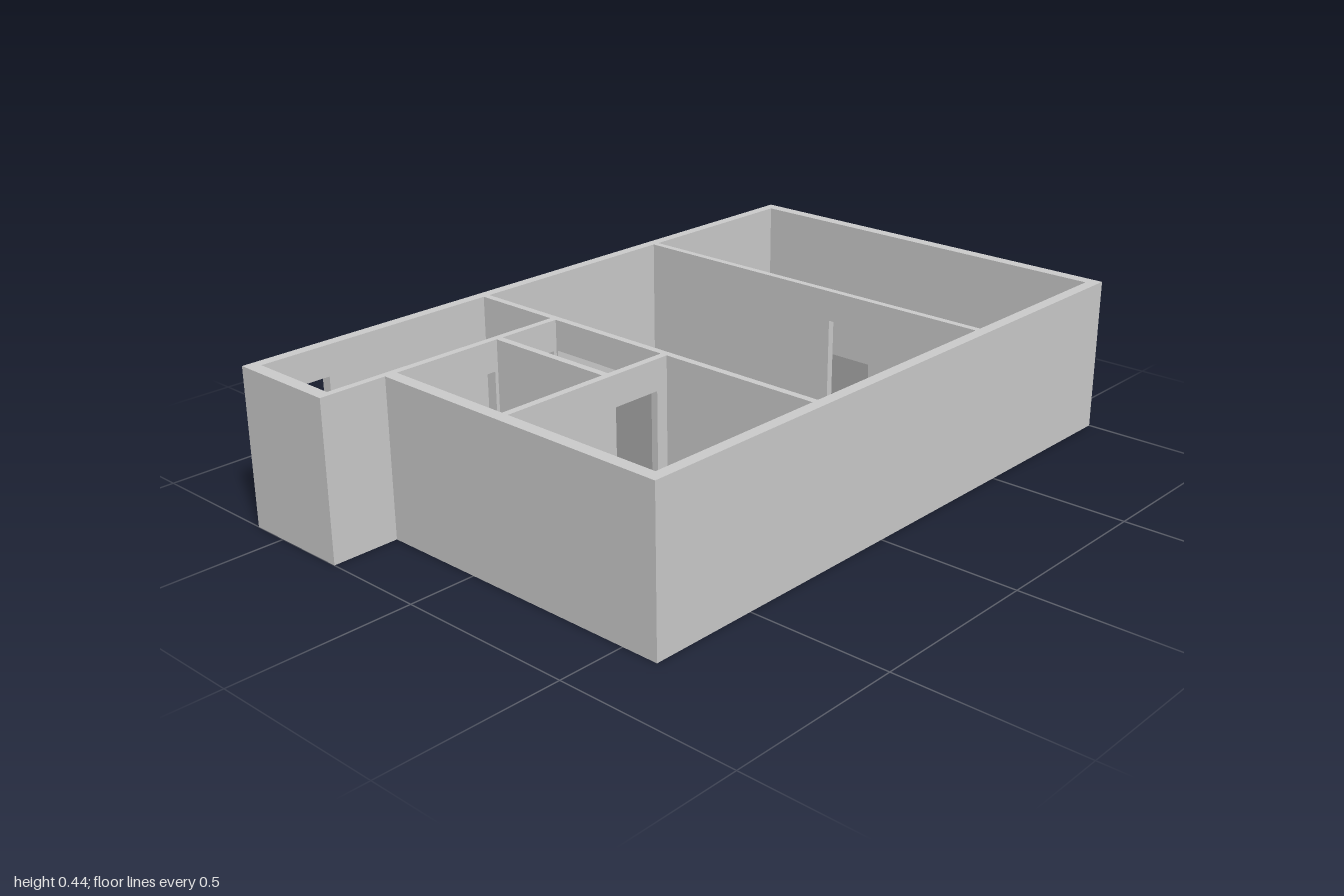
import * as THREE from 'three';

const H = 0.435;      // wall height
const DOOR = 0.35;    // head height of door openings
const SILL = 0.13, HEAD = 0.36; // window opening

const grey = new THREE.MeshStandardMaterial({ color: 0xcccccc });
const floorMat = new THREE.MeshStandardMaterial({ color: 0x808080, side: THREE.DoubleSide });
const glassMat = new THREE.MeshStandardMaterial({ color: 0x7088b0 });

export function createModel() {
  const model = new THREE.Group();
  model.name = 'housePlan';

  const add = (parent, name, geometry, material = grey) => {
    const mesh = new THREE.Mesh(geometry, material);
    mesh.name = name;
    parent.add(mesh);
    return mesh;
  };

  // Box given by its minimum and maximum corners
  const box = (parent, name, x0, x1, y0, y1, z0, z1, material) =>
    add(parent, name, new THREE.BoxGeometry(x1 - x0, y1 - y0, z1 - z0), material)
      .position.set((x0 + x1) / 2, (y0 + y1) / 2, (z0 + z1) / 2);

  // Upright wall running a..b along an axis and c0..c1 across it, with door notches and window holes
  const wall = (name, axis, a, b, c0, c1, doors = [], windows = []) => {
    const shape = new THREE.Shape().moveTo(a, 0);
    for (const [d0, d1] of doors) {
      shape.lineTo(d0, 0).lineTo(d0, DOOR).lineTo(d1, DOOR).lineTo(d1, 0);
    }
    shape.lineTo(b, 0).lineTo(b, H).lineTo(a, H).closePath();
    for (const [w0, w1] of windows) {
      shape.holes.push(new THREE.Path()
        .moveTo(w0, SILL).lineTo(w0, HEAD).lineTo(w1, HEAD).lineTo(w1, SILL).closePath());
    }
    const geometry = new THREE.ExtrudeGeometry(shape, { depth: c1 - c0, bevelEnabled: false });
    if (axis === 'x') geometry.translate(0, 0, c0);
    else geometry.rotateY(-Math.PI / 2).translate(c1, 0, 0);
    add(model, name, geometry);
  };

  // Outer walls
  const windows = [[-0.83, -0.61], [-0.35, -0.04], [0.40, 0.62]];
  const glazedDoor = [0.015, 0.165];
  wall('backWall', 'x', -0.605, 0.605, -1, -0.965);
  wall('rightWall', 'z', -0.965, 0.965, -0.605, -0.575, [[0.77, 0.925]]);
  wall('entranceFrontWall', 'x', -0.605, -0.29, 0.965, 1);
  wall('frontWall', 'x', -0.29, 0.605, 0.775, 0.81);
  wall('leftWallInner', 'z', -0.965, 0.775, 0.573, 0.598, [glazedDoor], windows);
  wall('leftWallOuter', 'z', -0.965, 0.775, 0.598, 0.605);

  // Partitions
  wall('backPartition', 'x', -0.575, 0.573, -0.44, -0.42, [[0.095, 0.235]]);
  wall('middlePartition', 'x', -0.575, 0.573, 0.23, 0.25, [[-0.285, 0.09]]);
  wall('entrancePartition', 'z', 0.25, 0.965, -0.31, -0.29, [[0.26, 0.43], [0.465, 0.607]]);
  wall('bedroomPartition', 'z', 0.25, 0.775, 0.09, 0.11, [[0.285, 0.43]]);
  wall('bathroomPartition', 'x', -0.29, 0.09, 0.435, 0.455);

  // Floor, just above the undersides of the walls
  const plan = [[-0.6, 0.99], [-0.6, -0.99], [0.6, -0.99], [0.6, 0.8], [-0.295, 0.8], [-0.295, 0.99]];
  const floorShape = new THREE.Shape(plan.map(([x, z]) => new THREE.Vector2(x, -z)));
  add(model, 'floor', new THREE.ShapeGeometry(floorShape).rotateX(-Math.PI / 2).translate(0, 0.002, 0), floorMat);

  // Windows: frame bars, panes and an inside sill
  for (const [z0, z1] of windows) {
    const win = new THREE.Group();
    win.name = 'window';
    model.add(win);
    const f = 0.012, mid = (z0 + z1) / 2;
    box(win, 'glass', 0.592, 0.5975, SILL, HEAD, z0, z1, glassMat);
    for (const z of [z0, mid - f / 2, z1 - f]) box(win, 'frameUpright', 0.585, 0.597, SILL, HEAD, z, z + f);
    for (const y of [SILL, HEAD - f]) box(win, 'frameRail', 0.586, 0.597, y, y + f, z0, z1);
    box(win, 'windowSill', 0.545, 0.58, SILL - 0.012, SILL + 0.002, z0, z1);
  }

  // Glazed side door with a handle
  const door = new THREE.Group();
  door.name = 'glazedDoor';
  model.add(door);
  const [d0, d1] = glazedDoor;
  box(door, 'doorLeaf', 0.588, 0.597, 0.003, DOOR, d0, d1);
  box(door, 'doorGlass', 0.586, 0.59, 0.19, DOOR - 0.02, d0 + 0.02, d1 - 0.02, glassMat);
  box(door, 'doorHandle', 0.577, 0.588, 0.165, 0.172, d0 + 0.006, d0 + 0.03);

  return model;
}
